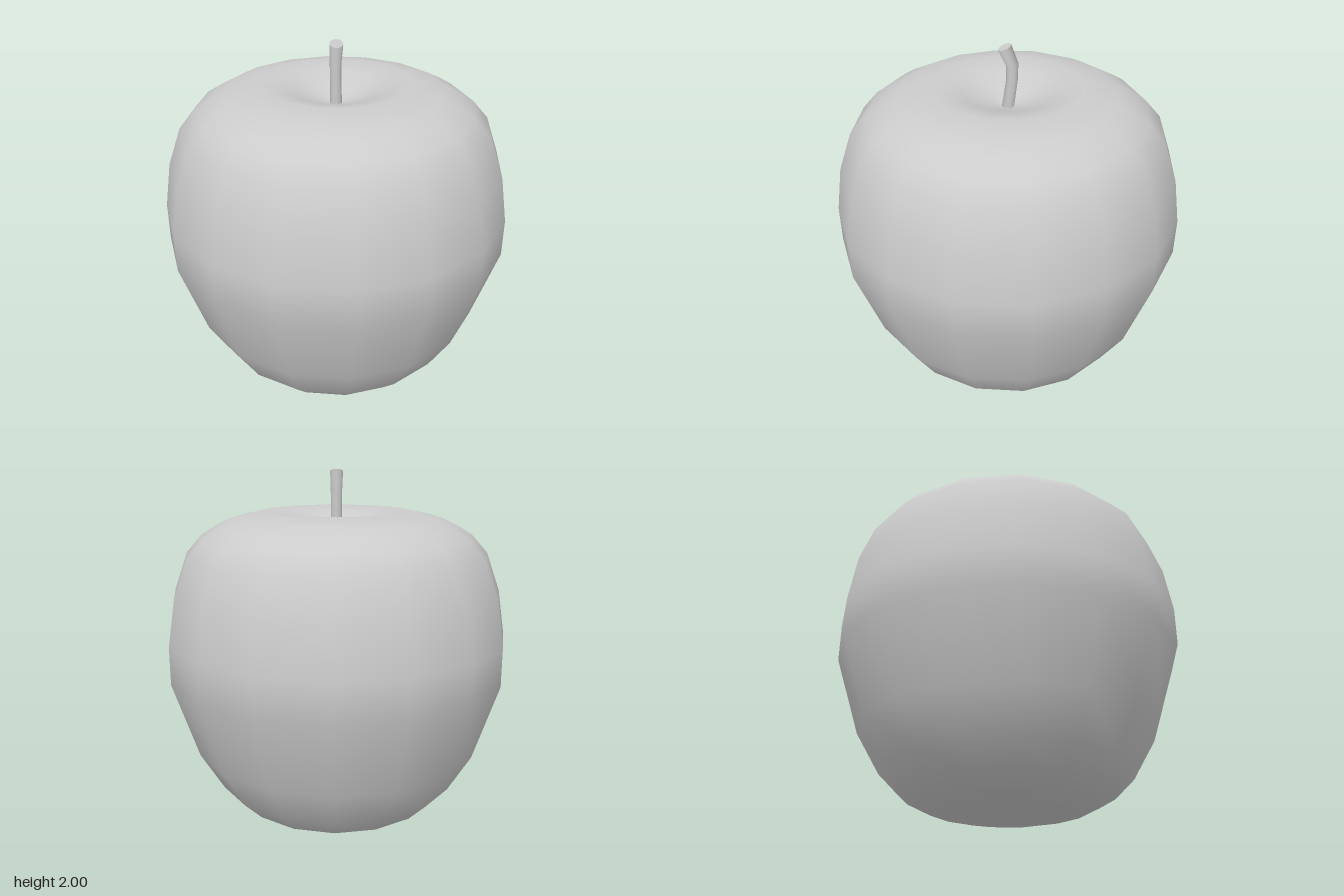
import * as THREE from 'three';

const material = new THREE.MeshStandardMaterial({ color: 0xcccccc });

// Sixteen-sided smooth body, from the bottom hollow up to the stem hollow
function createBody() {
  const profile = [
    [0, 0.05], [0.12, 0.03], [0.27, 0.003], [0.44, 0.04], [0.58, 0.11], [0.69, 0.22],
    [0.82, 0.44], [0.96, 0.87], [0.96, 1.08], [0.92, 1.33], [0.845, 1.54],
    [0.757, 1.64], [0.677, 1.69], [0.587, 1.735], [0.405, 1.775],
    [0.25, 1.74], [0.12, 1.68], [0, 1.65],
  ].map(([r, y]) => new THREE.Vector2(r, y));
  const body = new THREE.Mesh(new THREE.LatheGeometry(profile, 16), material);
  body.name = 'fruitBody';
  return body;
}

// Bent stem: a capped cylinder whose rings follow a centre line
function createStem() {
  const rings = [ // y, z, tilt towards the front, radius
    [1.62, 0.005, -0.12, 0.033],
    [1.81, -0.021, -0.05, 0.031],
    [1.89, -0.021, 0.2, 0.033],
    [1.985, 0.018, 0.4, 0.037],
  ];
  const last = rings.length - 1;
  const geometry = new THREE.CylinderGeometry(1, 1, 1, 10, last);
  const pos = geometry.attributes.position;
  for (let i = 0; i < pos.count; i++) {
    const [y, z, tilt, r] = rings[Math.round((pos.getY(i) + 0.5) * last)];
    const across = pos.getZ(i) * r;
    pos.setXYZ(i, pos.getX(i) * r, y - across * Math.sin(tilt), z + across * Math.cos(tilt));
  }
  const stem = new THREE.Mesh(geometry, material);
  stem.name = 'stem';
  return stem;
}

export function createModel() {
  const model = new THREE.Group();
  model.name = 'apple';
  model.add(createBody(), createStem());
  return model;
}
